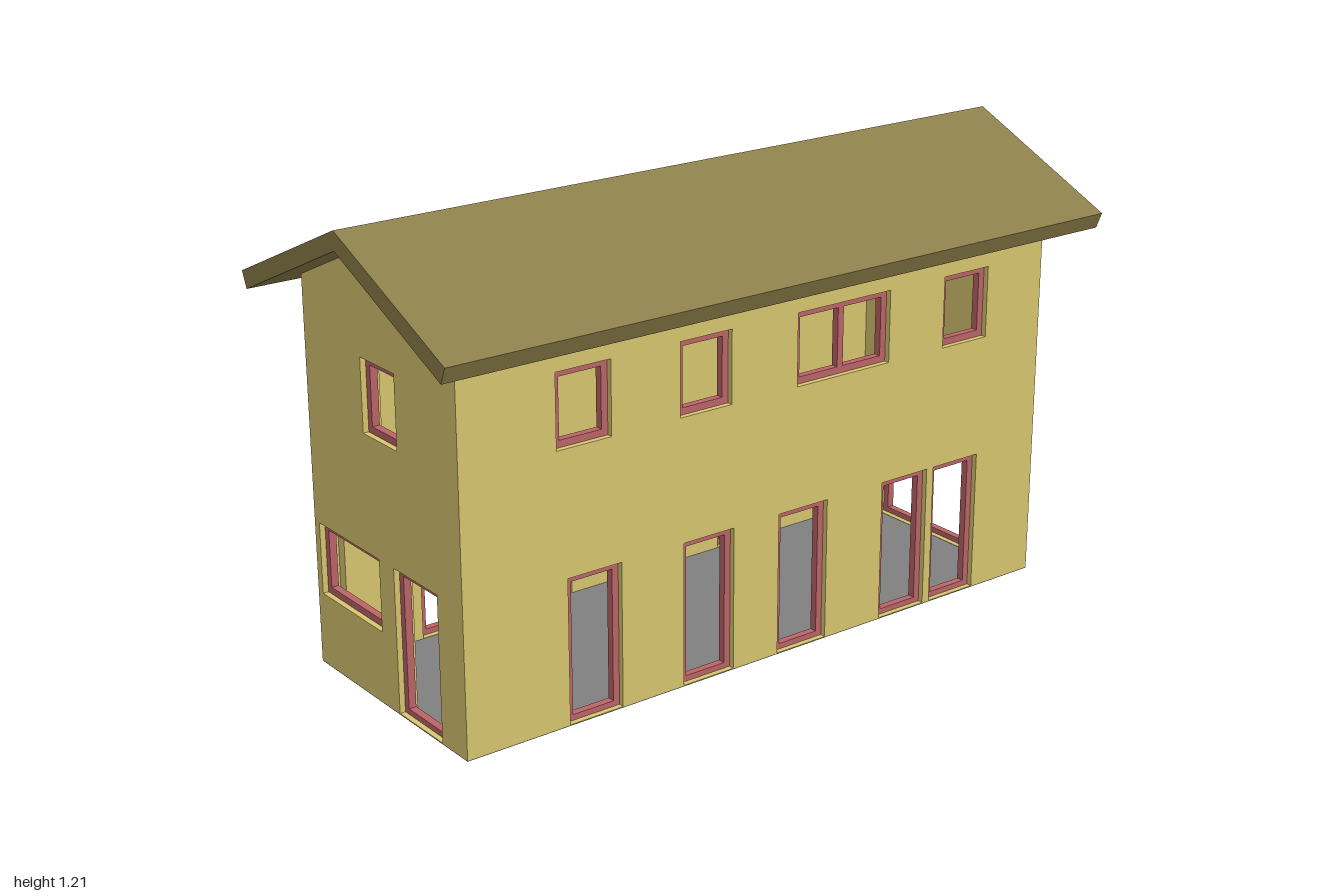
import * as THREE from 'three';

const mat = (color) => new THREE.MeshStandardMaterial({ color, flatShading: true });
const WALL = mat(0xd8c670), ROOF = mat(0x8a7d48), FRAME = mat(0xbb6468), FLOOR = mat(0x808080);

const HX = 0.335, HZ = 0.905, T = 0.05; // half width, half length, wall thickness
const BASE = 0.002, BAR = 0.018;

function add(parent, name, geometry, material) {
  const mesh = new THREE.Mesh(geometry, material);
  mesh.name = name;
  parent.add(mesh);
  return mesh;
}

const polygon = (points) => new THREE.Shape(points.map(([x, y]) => new THREE.Vector2(x, y)));

const rect = (x0, y0, x1, y1) => polygon([[x0, y0], [x1, y0], [x1, y1], [x0, y1]]);

// Extrude so the outer face lies at z = front
const slab = (shape, depth, front) =>
  new THREE.ExtrudeGeometry(shape, { depth, bevelEnabled: false }).translate(0, 0, front - depth);

// Wall with openings [x0, y0, x1, y1, mullion?], each holding a recessed frame
function makeWall(name, outline, openings) {
  const wall = new THREE.Group();
  wall.name = name;
  const shape = polygon(outline);
  for (const [x0, y0, x1, y1, mullion] of openings) {
    const bottom = Math.max(y0, BASE + 0.001);
    shape.holes.push(rect(x0, bottom, x1, y1));
    const frame = rect(x0, bottom, x1, y1);
    const mid = (x0 + x1) / 2;
    const panes = mullion
      ? [[x0 + BAR, mid - BAR / 2], [mid + BAR / 2, x1 - BAR]]
      : [[x0 + BAR, x1 - BAR]];
    for (const [a, b] of panes) frame.holes.push(rect(a, y0 + BAR, b, y1 - BAR));
    add(wall, y0 === 0 ? 'doorFrame' : 'windowFrame', slab(frame, 0.02, -0.015), FRAME);
  }
  add(wall, name + 'Panel', slab(shape, T, 0), WALL);
  return wall;
}

export function createModel() {
  const house = new THREE.Group();
  house.name = 'house';

  // Ground slab
  add(house, 'floor', new THREE.BoxGeometry(2 * HX, BASE, 2 * HZ).translate(0, BASE / 2, 0), FLOOR);

  // Gable walls
  const gable = [[-HX, BASE], [HX, BASE], [HX, 1.015], [0, 1.165], [-HX, 1.015]];
  const front = makeWall('frontWall', gable, [
    [-0.313, 0.193, -0.03, 0.382],
    [0.037, 0, 0.227, 0.382],
    [-0.075, 0.688, 0.075, 0.876],
  ]);
  front.position.z = HZ;
  const back = makeWall('backWall', gable, [[-0.25, 0, 0.205, 0.382]]);
  back.position.z = -HZ;
  back.rotation.y = Math.PI;
  house.add(front, back);

  // Long side walls, openings listed as z ranges
  const L = HZ - T;
  const side = [[-L, BASE], [L, BASE], [L, 1.015], [-L, 1.015]];
  const sides = [
    { name: 'leftWall', s: 1,
      doors: [[0.46, 0.615], [0.12, 0.275], [-0.18, -0.022], [-0.52, -0.365], [-0.698, -0.543]],
      windows: [[0.485, 0.64], [0.13, 0.285], [-0.375, -0.075, true], [-0.712, -0.56]] },
    { name: 'rightWall', s: -1,
      doors: [[0.485, 0.64], [0.175, 0.33], [-0.175, -0.02], [-0.475, -0.32], [-0.835, -0.68]],
      windows: [[0.515, 0.67], [0.177, 0.332], [-0.108, 0.047], [-0.535, -0.38], [-0.795, -0.64]] },
  ];
  for (const { name, s, doors, windows } of sides) {
    const place = (y0, y1) => ([a, b, mullion]) =>
      s > 0 ? [-b, y0, -a, y1, mullion] : [a, y0, b, y1, mullion];
    const wall = makeWall(name, side, [
      ...doors.map(place(0, 0.382)),
      ...windows.map(place(0.705, 0.895)),
    ]);
    wall.position.x = s * HX;
    wall.rotation.y = s * Math.PI / 2;
    house.add(wall);
  }

  // Pitched roof with overhanging eaves
  const roof = polygon([
    [0, 1.213], [-0.451, 1.013], [-0.433, 0.971], [0, 1.165], [0.433, 0.971], [0.451, 1.013],
  ]);
  add(house, 'roof', slab(roof, 2, 1), ROOF);

  return house;
}
